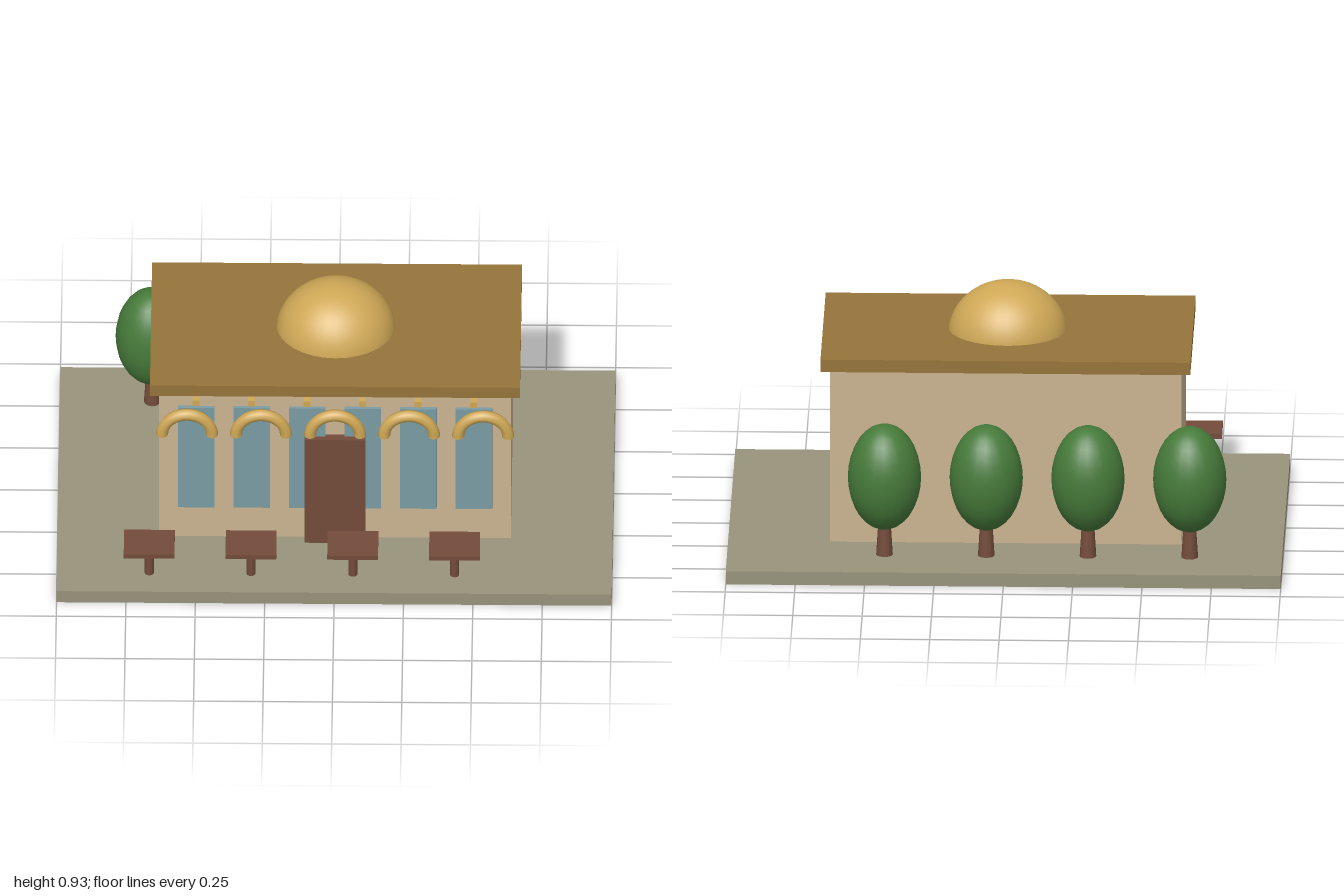
import * as THREE from 'three';

const mat = (color) => new THREE.MeshStandardMaterial({ color });

export function createModel() {
  const model = new THREE.Group();
  const stone = mat(0x97937a), wall = mat(0xcbb391), bronze = mat(0x96743a), gold = mat(0xcfa856);
  const glass = mat(0x7a9ca4), wood = mat(0x734c3b), leaf = mat(0x467a3a);
  gold.side = THREE.DoubleSide;

  const add = (name, geometry, material, x, y, z, parent = model) => {
    const mesh = new THREE.Mesh(geometry, material);
    mesh.name = name;
    mesh.position.set(x, y, z);
    parent.add(mesh);
    return mesh;
  };
  const box = (w, h, d) => new THREE.BoxGeometry(w, h, d);
  const group = (name, x, z) => {
    const g = new THREE.Group();
    g.name = name;
    g.position.set(x, 0, z);
    model.add(g);
    return g;
  };

  // Plinth, hall and overhanging roof
  add('plinth', box(2, 0.05, 1.333), stone, 0, 0.025, 0);
  add('walls', box(1.267, 0.66, 0.667), wall, 0, 0.38, 0);
  add('roof', box(1.333, 0.047, 0.733), bronze, 0, 0.732, 0);

  // Slightly oval dome
  const dome = new THREE.SphereGeometry(1, 32, 16, 0, Math.PI * 2, 0, Math.PI / 2);
  add('dome', dome, gold, 0, 0.73, 0).scale.set(0.216, 0.2, 0.2);

  // Front windows with small blocks above them
  for (let i = 0; i < 6; i++) {
    const x = -0.5 + i * 0.2;
    add('window', box(0.133, 0.45, 0.027), glass, x, 0.415, 0.333);
    add('corniceBlock', box(0.025, 0.025, 0.025), gold, x, 0.681, 0.361);
  }

  // Row of half-ring arches
  const arch = new THREE.TorusGeometry(0.09, 0.022, 8, 24, Math.PI);
  for (let i = 0; i < 5; i++) add('arch', arch, gold, -0.533 + i * 0.2667, 0.532, 0.363);

  // Door
  add('door', box(0.22, 0.465, 0.034), wood, 0, 0.2825, 0.352);

  // Tables in front and trees behind, on the same spacing
  const tableTop = box(0.183, 0.018, 0.148);
  const tableLeg = new THREE.CylinderGeometry(0.0165, 0.0165, 0.125, 12);
  const trunk = new THREE.CylinderGeometry(0.022, 0.03, 0.13, 12);
  const crown = new THREE.SphereGeometry(1, 24, 16);
  for (let i = 0; i < 4; i++) {
    const x = -0.667 + i * 0.3667;
    const table = group('table', x, 0.553);
    add('tableTop', tableTop, wood, 0, 0.179, 0, table);
    add('tableLeg', tableLeg, wood, 0, 0.1125, 0, table);
    const tree = group('tree', x, -0.467);
    add('trunk', trunk, wood, 0, 0.115, 0, tree);
    add('crown', crown, leaf, 0, 0.347, 0, tree).scale.set(0.132, 0.198, 0.132);
  }
  return model;
}
